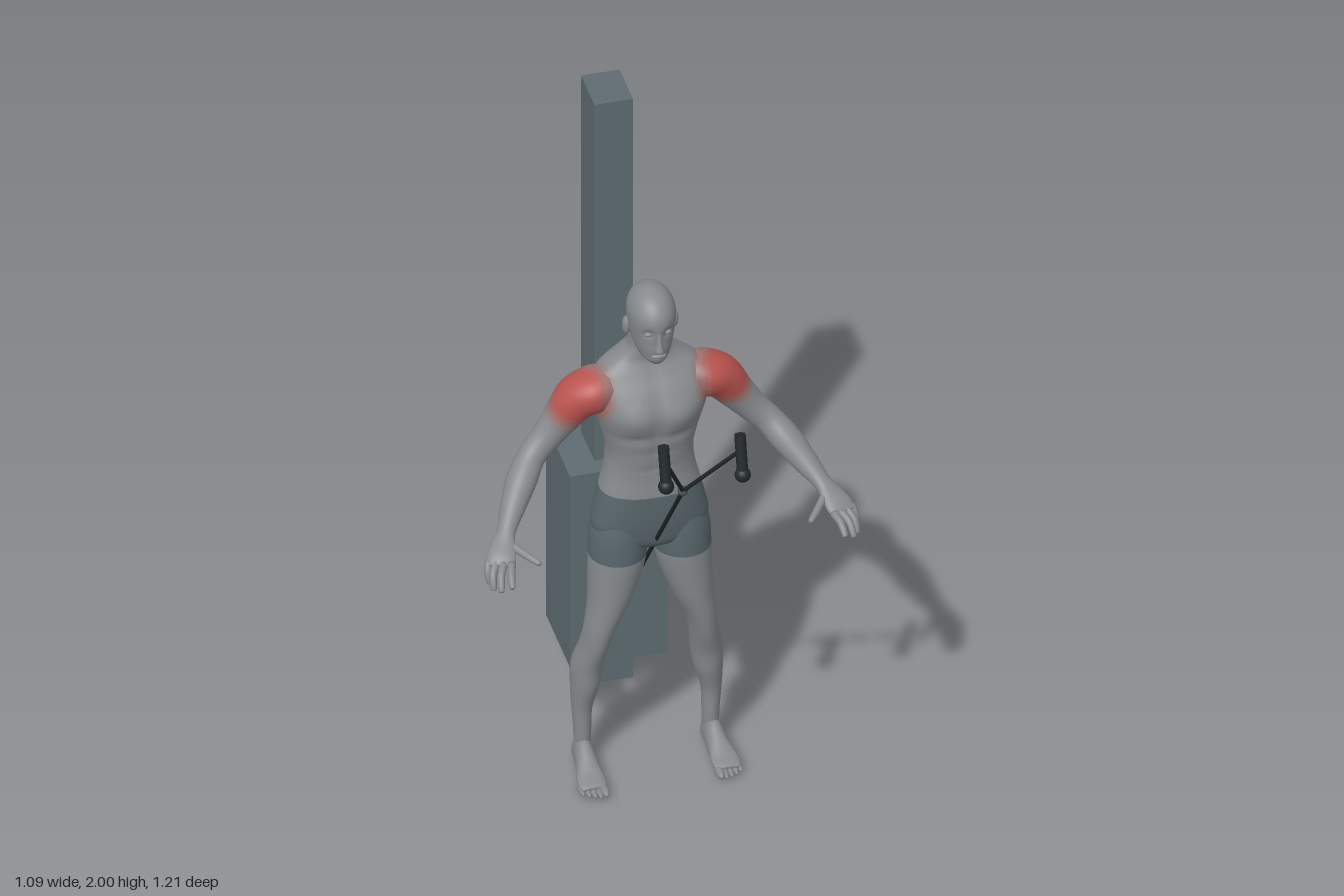
import * as THREE from 'three';

const mat = (name, color) => Object.assign(new THREE.MeshStandardMaterial({ color }), { name });
const V = (x, y, z) => new THREE.Vector3(x, y, z);
const gauss = (d, w) => Math.exp(-(d * d) / (w * w));

// Smooth in-between sections (Catmull-Rom over every column)
function refine(rows, steps) {
  const out = [];
  for (let i = 0; i < rows.length - 1; i++) {
    const a = rows[Math.max(i - 1, 0)], b = rows[i], c = rows[i + 1], d = rows[Math.min(i + 2, rows.length - 1)];
    for (let k = 0; k < steps; k++) {
      const t = k / steps;
      out.push(b.map((_, n) => 0.5 * (2 * b[n] + (c[n] - a[n]) * t
        + (2 * a[n] - 5 * b[n] + 4 * c[n] - d[n]) * t * t
        + (3 * b[n] - a[n] - 3 * c[n] + d[n]) * t * t * t)));
    }
  }
  out.push(rows[rows.length - 1]);
  return out;
}

// Skin over sections [x, y, z, half width, half depth on +v, half depth on -v].
// Upright lofts keep level rings; others turn the rings along the path.
function loft(rows, { steps = 5, sides = 32, upright = true, power = 1, shape } = {}) {
  const s = refine(rows, steps), pos = [], idx = [];
  const at = (i) => V(...s[Math.min(Math.max(i, 0), s.length - 1)].slice(0, 3));
  const bend = (v) => Math.sign(v) * Math.abs(v) ** power;
  s.forEach(([, , , w, f, b], i) => {
    let u = V(1, 0, 0), v = V(0, 0, 1);
    if (!upright) {
      const t = at(i + 1).sub(at(i - 1)).normalize();
      u = V(0, 1, 0).cross(t).normalize();
      v = u.clone().cross(t);
    }
    for (let j = 0; j < sides; j++) {
      const a = (j / sides) * Math.PI * 2, c = bend(Math.cos(a)), n = bend(Math.sin(a));
      const p = at(i).addScaledVector(u, c * w).addScaledVector(v, n * (n > 0 ? f : b));
      if (shape) shape(p);
      pos.push(p.x, p.y, p.z);
    }
  });
  for (let i = 0; i < s.length - 1; i++) for (let j = 0; j < sides; j++) {
    const a = i * sides + j, b = i * sides + ((j + 1) % sides);
    idx.push(a, a + sides, b, b, a + sides, b + sides);
  }
  // end caps
  const first = pos.length / 3, top = (s.length - 1) * sides;
  pos.push(...at(0), ...at(s.length - 1));
  for (let j = 0; j < sides; j++) {
    const k = (j + 1) % sides;
    idx.push(first, j, k, first + 1, top + k, top + j);
  }
  const g = new THREE.BufferGeometry();
  g.setAttribute('position', new THREE.Float32BufferAttribute(pos, 3));
  g.setIndex(idx);
  g.computeVertexNormals();
  return g;
}

// Sort triangles into material groups by the position of their centre
function paint(g, count, pick) {
  const p = g.attributes.position, old = g.index.array, bins = Array.from({ length: count }, () => []);
  for (let i = 0; i < old.length; i += 3) {
    const c = V(0, 0, 0);
    for (let k = 0; k < 3; k++) c.add(V().fromBufferAttribute(p, old[i + k]));
    bins[pick(c.divideScalar(3))].push(old[i], old[i + 1], old[i + 2]);
  }
  g.setIndex(bins.flat());
  let start = 0;
  bins.forEach((b, m) => { g.addGroup(start, b.length, m); start += b.length; });
  return g;
}

function mirror(g) {
  const m = g.clone().scale(-1, 1, 1), a = m.index.array;
  for (let i = 0; i < a.length; i += 3) [a[i], a[i + 1]] = [a[i + 1], a[i]];
  return m;
}

function rod(a, b, r) {
  const d = b.clone().sub(a), g = new THREE.CylinderGeometry(r, r, d.length(), 14);
  g.applyQuaternion(new THREE.Quaternion().setFromUnitVectors(V(0, 1, 0), d.normalize()));
  const c = a.clone().add(b).multiplyScalar(0.5);
  return g.translate(c.x, c.y, c.z);
}
const ball = (x, y, z, rx, ry, rz) => new THREE.SphereGeometry(1, 18, 12).scale(rx, ry, rz).translate(x, y, z);

export function createModel() {
  const root = new THREE.Group();
  root.name = 'cableMachineExercise';
  const skin = mat('skin grey', 0x868a8d), shorts = mat('shorts slate', 0x58656b);
  const reds = [mat('muscle red', 0xb9534f), mat('muscle soft red', 0xab605d),
    mat('muscle faded red', 0x9e706e), mat('muscle faint red', 0x927f7f)];
  const steel = mat('machine slate', 0x5e6b70), black = mat('cable black', 0x22282a), ringGrey = mat('ring grey', 0x4a5255);
  const add = (name, g, m) => {
    const mesh = new THREE.Mesh(g, m);
    mesh.name = name;
    root.add(mesh);
  };
  const pair = (name, g, m) => { add(name + 'Left', g, m); add(name + 'Right', mirror(g), m); };
  const bodyMats = [skin, shorts, ...reds];
  const muscle = (c) => {
    const d = Math.hypot(Math.abs(c.x) - 0.215, c.y - 1.31, c.z - 0.005);
    const band = [0.072, 0.086, 0.1, 0.115].findIndex((r) => d < r);
    return band < 0 ? 0 : band + 2;
  };

  // Machine
  add('post', new THREE.BoxGeometry(0.112, 2, 0.146).translate(0, 1, -0.477), steel);
  add('weightHousing', new THREE.BoxGeometry(0.284, 0.66, 0.258).translate(0, 0.44, -0.476), steel);

  // Cable, ring, straps and handles
  const joint = V(0, 1.18, 0.348);
  add('cable', rod(V(0, 0.29, -0.35), joint, 0.006), black);
  add('cableRing', ball(0, 1.18, 0.348, 0.015, 0.015, 0.015), ringGrey);
  pair('strap', rod(joint, V(0.105, 1.44, 0.555), 0.006), black);
  pair('handle', rod(V(0.111, 1.38, 0.583), V(0.111, 1.498, 0.552), 0.016), black);
  pair('handleBall', ball(0.111, 1.38, 0.582, 0.023, 0.023, 0.023), black);

  // Torso, neck and seat of the shorts
  const torso = loft([
    [0, 0.755, -0.02, 0.03, 0.03, 0.03], [0, 0.79, -0.02, 0.13, 0.078, 0.085],
    [0, 0.84, -0.02, 0.168, 0.09, 0.1], [0, 0.9, -0.02, 0.16, 0.095, 0.105],
    [0, 0.965, -0.02, 0.145, 0.094, 0.093], [0, 1.03, -0.02, 0.13, 0.09, 0.09],
    [0, 1.1, -0.02, 0.125, 0.095, 0.1], [0, 1.18, -0.02, 0.143, 0.106, 0.114],
    [0, 1.25, -0.02, 0.163, 0.112, 0.12], [0, 1.31, -0.02, 0.17, 0.09, 0.115],
    [0, 1.36, -0.023, 0.15, 0.06, 0.1], [0, 1.4, -0.028, 0.095, 0.045, 0.085],
    [0, 1.435, -0.03, 0.062, 0.05, 0.066], [0, 1.48, -0.028, 0.056, 0.055, 0.06],
    [0, 1.53, -0.025, 0.052, 0.05, 0.055],
  ], {
    steps: 7, sides: 64, power: 0.87,
    shape: (p) => {
      const x = Math.abs(p.x);
      if (p.z < -0.05) { // spine furrow, shoulder blades, seat cleft
        p.z += 0.024 * gauss(x, 0.03) * (gauss(p.y - 1.18, 0.17) + gauss(p.y - 0.84, 0.06));
        p.z -= 0.01 * gauss(x - 0.08, 0.035) * gauss(p.y - 1.27, 0.07);
      } else if (p.z > 0.01) { // chest and belly muscles
        p.z += 0.012 * gauss(x - 0.07, 0.05) * gauss(p.y - 1.245, 0.05);
        p.z -= 0.008 * gauss(x, 0.014) * gauss(p.y - 1.2, 0.16);
        p.z -= 0.006 * gauss(p.y - 1.175, 0.014) * gauss(x - 0.06, 0.06);
        for (const y of [1.06, 1.12]) p.z -= 0.003 * gauss(p.y - y, 0.008) * gauss(x, 0.06);
      }
    },
  });
  add('torso', paint(torso, 6, (c) => (c.y < 0.965 ? 1 : muscle(c))), bodyMats);

  // Head
  add('head', loft([
    [0, 1.428, 0.055, 0.016, 0.02, 0.03], [0, 1.445, 0.03, 0.04, 0.056, 0.06],
    [0, 1.475, 0.01, 0.054, 0.082, 0.08], [0, 1.51, 0, 0.063, 0.092, 0.082],
    [0, 1.55, 0, 0.068, 0.097, 0.089], [0, 1.585, 0, 0.067, 0.094, 0.09],
    [0, 1.615, 0, 0.055, 0.075, 0.075], [0, 1.635, 0, 0.035, 0.046, 0.046],
    [0, 1.645, 0, 0.008, 0.01, 0.01],
  ], {
    sides: 48,
    shape: (p) => { // eye sockets and mouth line
      if (p.z < 0.03) return;
      p.z -= 0.011 * gauss(Math.abs(p.x) - 0.028, 0.014) * gauss(p.y - 1.54, 0.013);
      p.z -= 0.005 * gauss(p.y - 1.463, 0.006) * gauss(p.x, 0.025);
    },
  }), skin);
  add('nose', loft([
    [0, 1.481, 0.088, 0.011, 0.012, 0.02], [0, 1.488, 0.09, 0.015, 0.023, 0.02],
    [0, 1.512, 0.09, 0.009, 0.017, 0.02], [0, 1.55, 0.088, 0.007, 0.007, 0.02],
  ], { sides: 16 }), skin);
  add('lips', ball(0, 1.464, 0.086, 0.022, 0.008, 0.01), skin);
  pair('eye', ball(0.027, 1.538, 0.078, 0.012, 0.007, 0.009), skin);
  pair('ear', ball(0.07, 1.52, -0.008, 0.011, 0.03, 0.017).rotateX(0), skin);

  // Arm with palm
  const arm = loft([
    [0.115, 1.325, -0.02, 0.06, 0.06, 0.045], [0.16, 1.313, -0.022, 0.077, 0.075, 0.055],
    [0.208, 1.278, -0.03, 0.07, 0.066, 0.062], [0.255, 1.215, -0.03, 0.051, 0.053, 0.053],
    [0.3, 1.16, -0.025, 0.043, 0.045, 0.045], [0.345, 1.115, -0.008, 0.041, 0.042, 0.042],
    [0.385, 1.07, 0.035, 0.044, 0.043, 0.043], [0.425, 1.022, 0.09, 0.036, 0.035, 0.035],
    [0.458, 0.985, 0.145, 0.027, 0.022, 0.022], [0.475, 0.965, 0.175, 0.035, 0.018, 0.018],
    [0.49, 0.945, 0.21, 0.042, 0.015, 0.016], [0.498, 0.93, 0.232, 0.037, 0.011, 0.011],
  ], { upright: false, steps: 8, sides: 40 });
  pair('arm', paint(arm, 6, muscle), bodyMats);

  // Fingers and thumb: base, knuckle, tip
  const digits = {
    littleFinger: [0.525, 0.937, 0.208, 0.533, 0.912, 0.225, 0.53, 0.885, 0.238],
    ringFinger: [0.507, 0.936, 0.22, 0.524, 0.915, 0.248, 0.527, 0.884, 0.268],
    middleFinger: [0.488, 0.936, 0.23, 0.505, 0.92, 0.265, 0.511, 0.89, 0.292],
    indexFinger: [0.467, 0.938, 0.238, 0.478, 0.928, 0.275, 0.483, 0.905, 0.305],
    thumb: [0.456, 0.963, 0.18, 0.425, 0.953, 0.225, 0.395, 0.943, 0.262],
  };
  for (const [name, d] of Object.entries(digits)) {
    const end = [0, 1, 2].map((k) => d[6 + k] + 0.12 * (d[6 + k] - d[3 + k]));
    pair(name, loft([
      [...d.slice(0, 3), 0.012, 0.012, 0.012], [...d.slice(3, 6), 0.011, 0.011, 0.011],
      [...d.slice(6), 0.0085, 0.0085, 0.0085], [...end, 0.002, 0.002, 0.002],
    ], { upright: false, steps: 4, sides: 12 }), skin);
  }

  // Leg, with the shorts ending at the hem
  const leg = loft([
    [0.186, 0.05, -0.05, 0.024, 0.03, 0.03], [0.186, 0.12, -0.05, 0.025, 0.034, 0.033],
    [0.187, 0.2, -0.05, 0.03, 0.038, 0.038], [0.178, 0.28, -0.05, 0.042, 0.057, 0.05],
    [0.172, 0.35, -0.045, 0.046, 0.062, 0.056], [0.158, 0.43, -0.025, 0.042, 0.066, 0.047],
    [0.144, 0.5, -0.01, 0.046, 0.064, 0.053], [0.121, 0.58, -0.01, 0.06, 0.073, 0.064],
    [0.105, 0.66, -0.012, 0.074, 0.08, 0.075], [0.094, 0.74, -0.015, 0.083, 0.086, 0.086],
    [0.089, 0.82, -0.02, 0.083, 0.087, 0.1], [0.08, 0.89, -0.02, 0.068, 0.075, 0.085],
  ], { steps: 6, sides: 40 });
  pair('leg', paint(leg, 2, (c) => (c.y > 0.74 ? 1 : 0)), [skin, shorts]);

  // Foot and toes
  pair('foot', loft([
    [0.185, 0.035, -0.086, 0.01, 0.012, 0.014], [0.186, 0.035, -0.068, 0.026, 0.027, 0.045],
    [0.188, 0.038, -0.03, 0.029, 0.031, 0.06], [0.19, 0.034, 0.02, 0.033, 0.026, 0.04],
    [0.194, 0.03, 0.07, 0.04, 0.023, 0.016], [0.195, 0.025, 0.105, 0.039, 0.018, 0.01],
    [0.195, 0.023, 0.118, 0.03, 0.008, 0.006],
  ], { upright: false, sides: 24 }), skin);
  for (let i = 0; i < 5; i++) {
    const r = i ? 0.0085 : 0.0125;
    pair('toe' + (i + 1), ball(0.167 + i * 0.0155, 0.006 + r, 0.122 - i * i * 0.0015, r, r, 0.032), skin);
  }
  return root;
}
